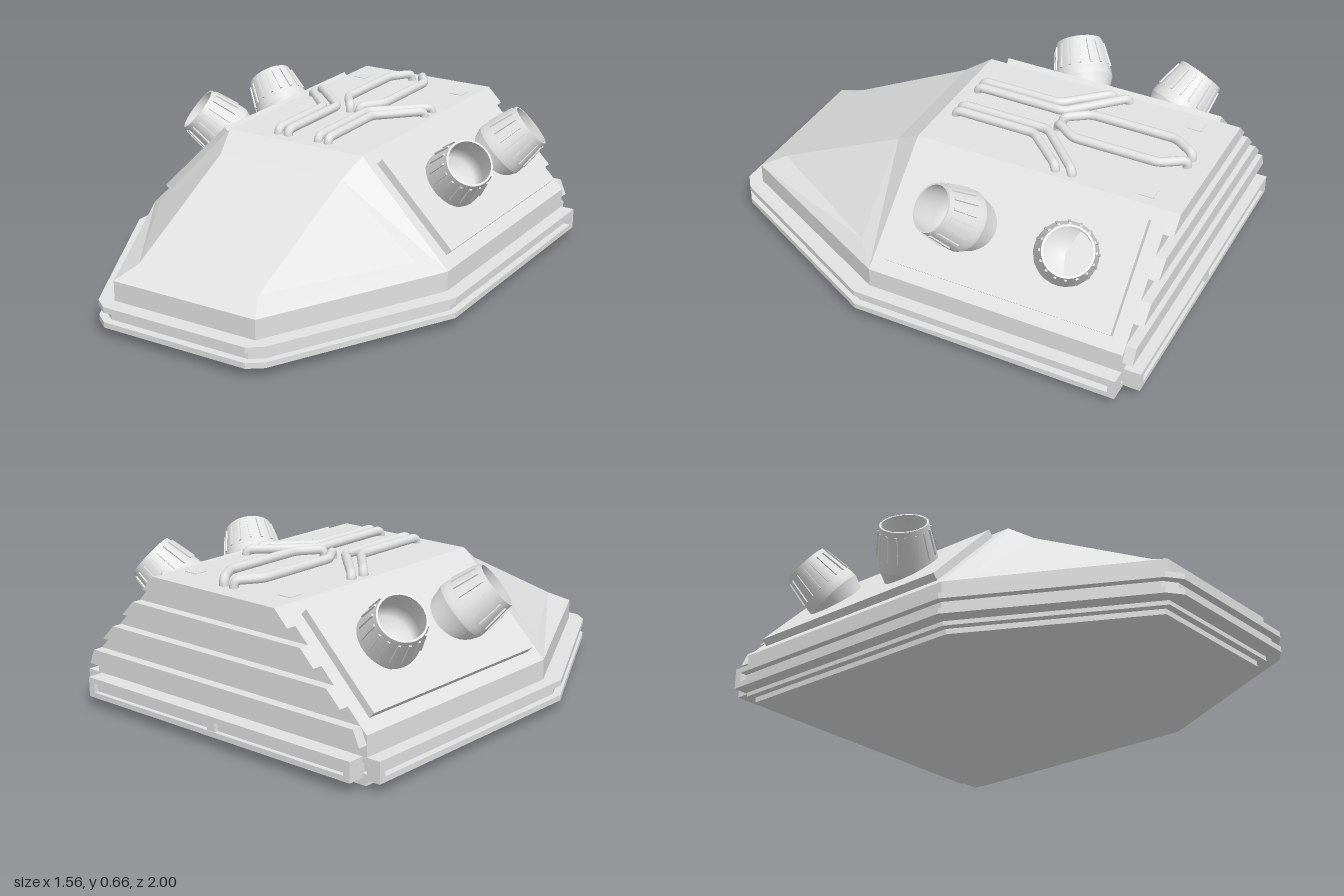
import * as THREE from 'three';

const grey = new THREE.MeshStandardMaterial({ color: 0xe2e2e2 });
grey.name = 'hull grey';

function add(parent, name, geometry) {
  const mesh = new THREE.Mesh(geometry, grey);
  mesh.name = name;
  parent.add(mesh);
  return mesh;
}

// Plan outline: straight rear part, tapering to a blunt nose
function outline({ w, zk, xf, zf, zb, chamfer = 0 }) {
  const half = [[w, zb], [w, zk]];
  if (chamfer) half.push([xf + chamfer, zf - chamfer * 0.75]);
  half.push([xf, zf]);
  const pts = [...half, ...half.slice().reverse().map(([x, z]) => [-x, z])];
  return pts.map(([x, z]) => new THREE.Vector2(x, -z));
}

function slab(points, y0, y1, hole) {
  const shape = new THREE.Shape(points);
  if (hole) shape.holes.push(new THREE.Path(hole));
  const g = new THREE.ExtrudeGeometry(shape, { depth: y1 - y0, bevelEnabled: false });
  return g.rotateX(-Math.PI / 2).translate(0, y0, 0);
}

// Flat faces, each turned away from the middle of the hull
function facets(faces) {
  const centre = new THREE.Vector3(0, 0.3, 0);
  const pos = [];
  for (const face of faces) {
    const v = face.map(p => new THREE.Vector3(...p));
    const n = v[1].clone().sub(v[0]).cross(v[2].clone().sub(v[0]));
    if (n.dot(v[0].clone().sub(centre)) < 0) v.reverse();
    for (let i = 1; i < v.length - 1; i++)
      for (const p of [v[0], v[i], v[i + 1]]) pos.push(p.x, p.y, p.z);
  }
  const g = new THREE.BufferGeometry();
  g.setAttribute('position', new THREE.Float32BufferAttribute(pos, 3));
  g.computeVertexNormals();
  return g;
}

function hullGeometry() {
  const flip = p => [-p[0], p[1], p[2]];
  const topBack = [0.32, 0.61, -0.93], top = [0.32, 0.61, 0.15];
  const sideBack = [0.72, 0.21, -0.93], side = [0.72, 0.21, 0.16];
  const nose = [0.33, 0.21, 0.93];
  const inTop = [0.29, 0.54, 0.26], inSide = [0.62, 0.26, 0.25], inNose = [0.28, 0.26, 0.83];
  const half = [
    [topBack, top, side, sideBack],
    [top, side, inSide, inTop],
    [side, nose, inNose, inSide],
    [inTop, inSide, inNose],
  ];
  const across = [[topBack, top], [top, inTop], [inTop, inNose], [inNose, nose], [topBack, sideBack]];
  return facets([
    ...half,
    ...half.map(f => f.map(flip)),
    ...across.map(([a, b]) => [a, b, flip(b), flip(a)]),
  ]);
}

// Straight pipe runs with tight bends, both ends turned down into the roof
function pipe(points, y, radius) {
  const p = points.map(([x, z]) => new THREE.Vector3(x, y, z));
  p.unshift(p[0].clone().setY(0.6));
  p.push(p[p.length - 1].clone().setY(0.6));
  const path = new THREE.CurvePath();
  let from = p[0];
  for (let i = 1; i < p.length - 1; i++) {
    const bend = 0.025;
    const a = p[i].clone().add(p[i - 1].clone().sub(p[i]).setLength(bend));
    const b = p[i].clone().add(p[i + 1].clone().sub(p[i]).setLength(bend));
    path.add(new THREE.LineCurve3(from, a));
    path.add(new THREE.QuadraticBezierCurve3(a, p[i], b));
    from = b;
  }
  path.add(new THREE.LineCurve3(from, p[p.length - 1]));
  return new THREE.TubeGeometry(path, 70, radius, 10, false);
}

// Bell-shaped open nozzle along +y, its rim centre at the origin
function nozzle() {
  const g = new THREE.Group();
  g.name = 'nozzle';
  const profiles = {
    nozzleBase: [[0.085, -0.33], [0.1, -0.26], [0.112, -0.21], [0.125, -0.175]],
    nozzleBell: [[0.125, -0.175], [0.124, -0.15], [0.1, 0]],
    nozzleRim: [[0.1, 0], [0.092, 0]],
    nozzleInside: [[0.092, 0], [0.108, -0.12], [0.1, -0.19], [0, -0.2]],
  };
  for (const [name, pts] of Object.entries(profiles))
    add(g, name, new THREE.LatheGeometry(pts.map(q => new THREE.Vector2(...q)), 28));
  for (let i = 0; i < 16; i++) {
    const pivot = new THREE.Group();
    pivot.name = 'nozzleRib';
    pivot.rotation.y = (i / 16) * Math.PI * 2;
    const rib = add(pivot, 'rib', new THREE.BoxGeometry(0.01, 0.11, 0.012));
    rib.position.set(0, -0.075, 0.112);
    rib.rotation.x = -0.16;
    g.add(pivot);
  }
  return g;
}

export function createModel() {
  const model = new THREE.Group();
  model.name = 'armouredHull';

  // Stepped base rings around a recessed floor, and two flange rails
  const foot = outline({ w: 0.69, zk: 0.16, xf: 0.31, zf: 0.9, zb: -0.9 });
  const footHole = outline({ w: 0.645, zk: 0.15, xf: 0.285, zf: 0.85, zb: -0.855 });
  const step = outline({ w: 0.72, zk: 0.17, xf: 0.33, zf: 0.93, zb: -0.92 });
  const stepHole = outline({ w: 0.615, zk: 0.14, xf: 0.27, zf: 0.815, zb: -0.825 });
  const flange = outline({ w: 0.78, zk: 0.2, xf: 0.33, zf: 1, zb: -0.93, chamfer: 0.06 });
  add(model, 'footRim', slab(foot, 0, 0.022, footHole));
  add(model, 'stepRim', slab(step, 0.022, 0.04, stepHole));
  add(model, 'lowerRail', slab(flange, 0.04, 0.063, stepHole));
  add(model, 'upperRail', slab(flange, 0.103, 0.127));
  add(model, 'floorAndGroove', slab(outline({ w: 0.75, zk: 0.19, xf: 0.32, zf: 0.965, zb: -0.91, chamfer: 0.05 }), 0.06, 0.105));
  add(model, 'bodyWall', slab(outline({ w: 0.72, zk: 0.16, xf: 0.33, zf: 0.93, zb: -0.93 }), 0.12, 0.21));
  add(model, 'upperHull', hullGeometry());

  // Rear bumper: two rails, a groove and end blocks
  const bar = (name, w, h, d, x, y, z) =>
    add(model, name, new THREE.BoxGeometry(w, h, d)).position.set(x, y, z);
  bar('rearLowerRail', 1.4, 0.022, 0.08, 0, 0.056, -0.96);
  bar('rearUpperRail', 1.4, 0.022, 0.08, 0, 0.116, -0.96);
  bar('rearGroove', 1.38, 0.05, 0.06, 0, 0.086, -0.95);
  bar('rearMiddleBlock', 0.04, 0.05, 0.08, 0, 0.086, -0.958);
  for (const s of [-1, 1]) {
    bar('rearEndBlock', 0.03, 0.08, 0.08, s * 0.685, 0.086, -0.96);
    bar('railEndBlock', 0.06, 0.05, 0.03, s * 0.75, 0.083, -0.915);
  }

  // Horizontal fins on the back, following the sloping sides
  for (let i = 0; i < 4; i++) {
    const y1 = 0.61 - i * 0.124, y0 = y1 - 0.064;
    const xAt = y => Math.min(0.72, 0.93 - y);
    const shape = new THREE.Shape([
      new THREE.Vector2(-xAt(y0), y0), new THREE.Vector2(xAt(y0), y0),
      new THREE.Vector2(xAt(y1), y1), new THREE.Vector2(-xAt(y1), y1),
    ]);
    add(model, 'rearFin', new THREE.ExtrudeGeometry(shape, { depth: 0.045, bevelEnabled: false }))
      .position.z = -0.972;
  }

  for (const s of [-1, 1]) {
    // Raised plate on the sloping side
    const plate = add(model, 'sidePlate', new THREE.BoxGeometry(0.455, 0.05, 0.97));
    plate.position.set(s * 0.525, 0.416, -0.385);
    plate.rotation.z = -s * Math.PI / 4;

    // Front nozzle leans forward, rear one leans back
    for (const [z, lean] of [[-0.102, 0.12], [-0.672, -0.085]]) {
      const n = nozzle();
      n.position.set(s * 0.668, 0.573, z);
      n.quaternion.setFromUnitVectors(
        new THREE.Vector3(0, 1, 0), new THREE.Vector3(s * 0.17, 0.17, lean).normalize());
      model.add(n);
    }

    // Roof pipes and hatch
    add(model, 'outerPipe', pipe([[s * 0.28, -0.435], [s * 0.12, -0.265], [s * 0.12, 0.085]], 0.632, 0.019));
    add(model, 'innerPipe', pipe([[s * 0.28, -0.505], [s * 0.073, -0.305], [s * 0.073, 0.085]], 0.632, 0.019));
    add(model, 'centrePipe', pipe([[s * 0.026, -0.88], [s * 0.09, -0.785], [s * 0.09, -0.42], [s * 0.022, -0.325]], 0.64, 0.019));
    bar('roofHatch', 0.06, 0.006, 0.06, s * 0.248, 0.61, -0.813);
  }
  return model;
}
